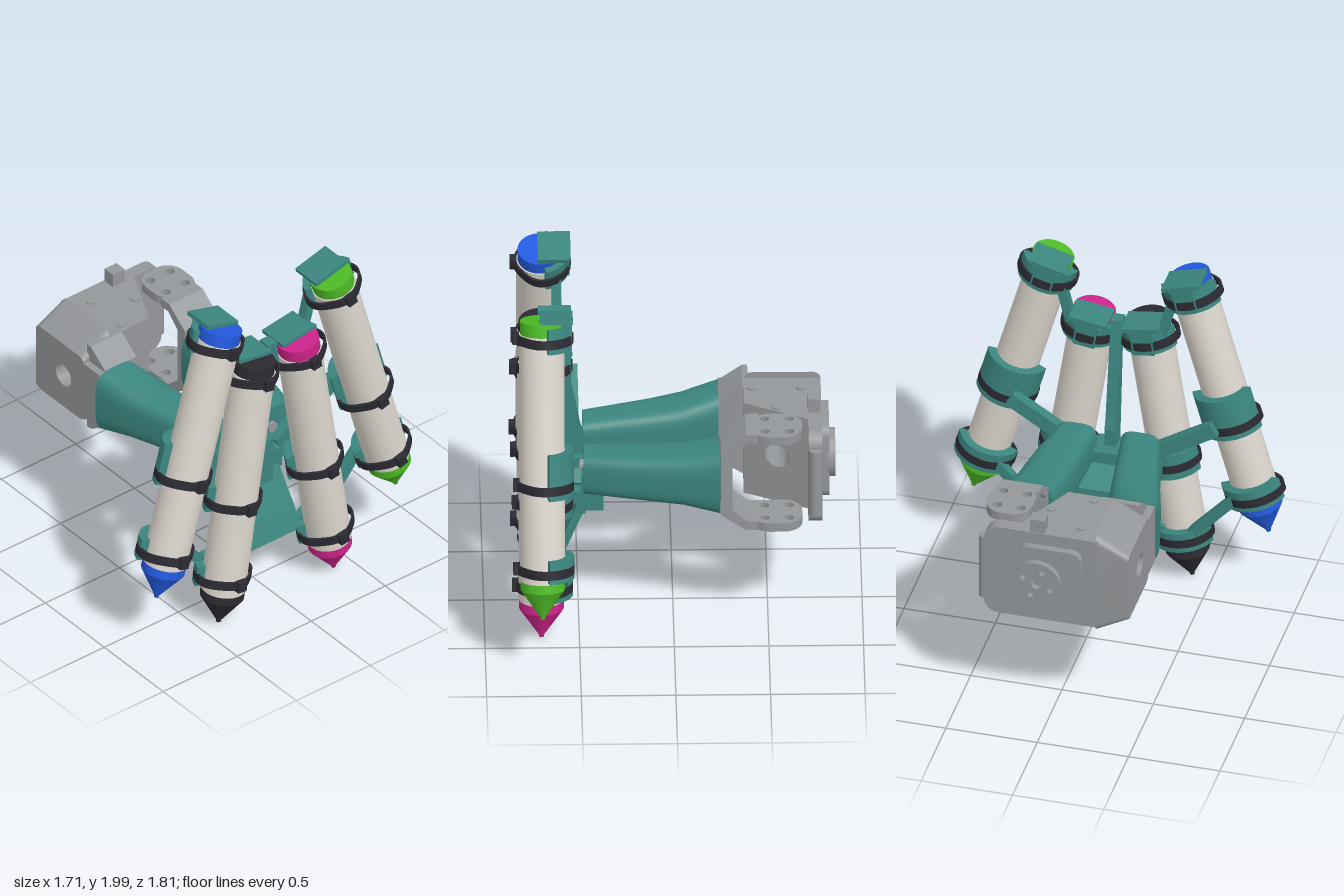
import * as THREE from 'three';
import { toCreasedNormals } from 'three/addons/utils/BufferGeometryUtils.js';

const paint = (name, color) => Object.assign(new THREE.MeshStandardMaterial({ color }), { name });

export function createModel() {
  const teal = paint('teal plastic', 0x3b857e), grey = paint('grey servo', 0x94979a);
  const ivory = paint('ivory barrel', 0xdcd7cd), black = paint('black', 0x2b2a32);
  const blue = paint('blue', 0x225ade), green = paint('green', 0x4dbb26), pink = paint('magenta', 0xcc2389);
  const model = new THREE.Group();

  const add = (parent, name, geometry, material, x = 0, y = 0, z = 0) => {
    const mesh = new THREE.Mesh(geometry, material);
    mesh.name = name;
    mesh.position.set(x, y, z);
    parent.add(mesh);
    return mesh;
  };
  const box = (parent, name, mat, x0, x1, y0, y1, z0, z1) => add(parent, name,
    new THREE.BoxGeometry(x1 - x0, y1 - y0, z1 - z0), mat, (x0 + x1) / 2, (y0 + y1) / 2, (z0 + z1) / 2);
  const outline = pts => new THREE.Shape(pts.map(p => new THREE.Vector2(...p)));
  const hole = (shape, x, y, r) => {
    shape.holes.push(new THREE.Path().absarc(x, y, r, 0, Math.PI * 2, true));
    return shape;
  };
  // Extrusion along z, along y (shape drawn in x, -z) and along x (shape drawn in -z, y)
  const alongZ = (shape, a, b) => new THREE.ExtrudeGeometry(shape,
    { depth: b - a, bevelEnabled: false, curveSegments: 20 }).translate(0, 0, a);
  const smooth = g => toCreasedNormals(g, 0.5);
  const alongY = (shape, a, b) => smooth(alongZ(shape, a, b).rotateX(-Math.PI / 2));
  const alongX = (shape, a, b) => smooth(alongZ(shape, a, b).rotateY(Math.PI / 2));
  const roundRect = (x0, x1, y0, y1, r) => {
    const s = new THREE.Shape();
    s.absarc(x1 - r, y1 - r, r, 0, Math.PI / 2);
    s.absarc(x0 + r, y1 - r, r, Math.PI / 2, Math.PI);
    s.absarc(x0 + r, y0 + r, r, Math.PI, Math.PI * 1.5);
    s.absarc(x1 - r, y0 + r, r, Math.PI * 1.5, Math.PI * 2);
    return s;
  };
  const beam = (name, a, b, depth, width) => {
    const p = new THREE.Vector3(...a), q = new THREE.Vector3(...b), d = q.clone().sub(p);
    const m = add(model, name, new THREE.BoxGeometry(depth, d.length(), width), teal);
    m.position.copy(p).add(q).multiplyScalar(0.5);
    m.quaternion.setFromUnitVectors(new THREE.Vector3(0, 1, 0), d.normalize());
  };

  // Cradle: open arc behind the pen. Strap: hugs the pen in front and the cradle behind
  const cradle = r => {
    const s = new THREE.Shape(), a = 1.35;
    s.absarc(0, 0, r, Math.PI - a, Math.PI + a, false);
    s.absarc(0, 0, 0.121, Math.PI + a, Math.PI - a, true);
    return s;
  };
  const strapLoop = inset => Array.from({ length: 48 }, (_, i) => {
    const t = (i / 48 - 0.5) * Math.PI * 2;
    const r = 0.134 + 0.034 * THREE.MathUtils.smoothstep(Math.abs(t), 0.7, 1.7) - inset;
    return new THREE.Vector2(r * Math.cos(t), r * Math.sin(t));
  });
  const strapShape = new THREE.Shape(strapLoop(0));
  strapShape.holes.push(new THREE.Path(strapLoop(0.013).reverse()));
  const lathe = pts => smooth(new THREE.LatheGeometry(pts.map(p => new THREE.Vector2(...p)), 40).toNonIndexed());

  // Pens, each in its own tilted frame with the tip at the origin
  // clamps: [strap centre, cradle start, cradle end, cradle radius]
  function pen(name, mat, tipY, tipZ, tilt, clamps) {
    const g = new THREE.Group();
    g.name = name;
    g.position.set(0.7, tipY, tipZ);
    g.rotation.x = tilt;
    add(g, 'penTip', lathe([[0, 0], [0.012, 0.006], [0.015, 0.02], [0.118, 0.17], [0.118, 0.222]]), mat);
    add(g, 'penBarrel', lathe([[0, 0.22], [0.12, 0.22], [0.12, 1.572], [0, 1.572]]), ivory);
    add(g, 'penCap', lathe([[0.114, 1.565], [0.114, 1.641], [0, 1.641]]), mat);
    for (const [s, from, to, r] of clamps) {
      add(g, 'cradleLower', alongY(cradle(r), from, s - 0.027), teal);
      add(g, 'cradleGroove', alongY(cradle(0.15), s - 0.027, s + 0.027), teal);
      add(g, 'cradleUpper', alongY(cradle(r), s + 0.027, to), teal);
      add(g, 'strap', alongY(strapShape, s - 0.024, s + 0.024), black);
      box(g, 'strapBuckle', black, 0.12, 0.155, s - 0.03, s + 0.03, -0.028, 0.028);
    }
    box(g, 'topStop', teal, -0.165, 0.01, 1.644, 1.666, -0.105, 0.105);
    box(g, 'topStopWeb', teal, -0.16, -0.125, 1.5, 1.65, -0.06, 0.06);
    model.add(g);
  }
  const outer = [[0.283, 0.235, 0.355, 0.168], [0.742, 0.69, 0.935, 0.168], [1.545, 1.49, 1.62, 0.157]];
  const inner = [[0.3, 0.25, 0.365, 0.168], [0.772, 0.71, 0.86, 0.168], [1.553, 1.5, 1.62, 0.157]];
  pen('outerLeftPen', blue, 0.36, 0.81, -0.272, outer);
  pen('outerRightPen', green, 0.36, -0.81, 0.272, outer);
  pen('innerLeftPen', black, 0.005, 0.39, -0.15, inner);
  pen('innerRightPen', pink, 0.005, -0.39, 0.15, inner);

  // Frame: spine, hub, lower skirt and struts to the cradles
  add(model, 'spine', alongZ(outline([[0.47, 0.8], [0.56, 0.8], [0.62, 1.45], [0.67, 1.6], [0.67, 1.64], [0.6, 1.64],
    [0.57, 1.5], [0.49, 1.08], [0.47, 1.02]]), -0.03, 0.03), teal);
  box(model, 'hubBlock', teal, 0.4, 0.57, 0.65, 0.92, -0.085, 0.085);
  box(model, 'hubPlate', teal, 0.465, 0.5, 0.65, 0.88, -0.2, 0.2);
  add(model, 'hubWedge', alongZ(outline([[0.25, 0.78], [0.37, 0.76], [0.37, 0.65], [0.5, 0.65], [0.5, 0.86],
    [0.42, 0.86]]), -0.17, 0.17), teal);
  const skirt = alongZ(outline([[0.46, 0.68], [0.57, 0.43], [0.61, 0.32], [0.65, 0.32], [0.61, 0.44], [0.51, 0.68]]),
    -0.2, 0.2);
  const sp = skirt.attributes.position;
  for (let i = 0; i < sp.count; i++) if (sp.getY(i) > 0.5) sp.setZ(i, sp.getZ(i) * 0.85);
  skirt.computeVertexNormals();
  add(model, 'lowerSkirt', skirt, teal);
  for (const s of [1, -1]) {
    beam('midArm', [0.52, 0.84, s * 0.14], [0.525, 1.1, s * 0.56], 0.06, 0.08);
    beam('innerMidArm', [0.525, 0.79, s * 0.08], [0.525, 0.79, s * 0.27], 0.06, 0.07);
    beam('lowerStrut', [0.59, 0.34, s * 0.4], [0.585, 0.63, s * 0.66], 0.05, 0.055);
    beam('innerLowerArm', [0.6, 0.345, s * 0.16], [0.6, 0.345, s * 0.27], 0.04, 0.05);
    beam('upperStrut', [0.61, 1.6, s * 0.25], [0.61, 1.84, s * 0.31], 0.05, 0.05);
    const screw = add(model, 'legScrew', new THREE.CylinderGeometry(0.03, 0.03, 0.04, 20), grey, 0.475, 0.92, s * 0.145);
    screw.rotation.z = Math.PI / 2;
  }

  // Legs: rounded sections [x, yLow, yHigh, zLow, zHigh] joined from rear to hub
  function leg(name, rows) {
    const n = 40, pos = [], idx = [];
    for (const [x, y0, y1, z0, z1] of rows) for (let i = 0; i < n; i++) {
      const t = i / n * Math.PI * 2, r = v => Math.sign(v) * Math.abs(v) ** 0.55;
      pos.push(x, (y0 + y1) / 2 + r(Math.sin(t)) * (y1 - y0) / 2, (z0 + z1) / 2 + r(Math.cos(t)) * (z1 - z0) / 2);
    }
    for (let k = 0; k < rows.length - 1; k++) for (let i = 0; i < n; i++) {
      const a = k * n + i, b = k * n + (i + 1) % n;
      idx.push(a, a + n, b, b, a + n, b + n);
    }
    const last = (rows.length - 1) * n;
    for (let i = 1; i < n - 1; i++) idx.push(0, i, i + 1, last, last + i + 1, last + i);
    const g = new THREE.BufferGeometry();
    g.setAttribute('position', new THREE.Float32BufferAttribute(pos, 3));
    g.setIndex(idx);
    add(model, name, toCreasedNormals(g.toNonIndexed(), 0.7), teal).material.side = THREE.DoubleSide;
  }
  leg('leftLeg', [[-0.245, 0.73, 1.115, 0.19, 0.467], [-0.05, 0.77, 1.065, 0.135, 0.42],
    [0.12, 0.785, 1.05, 0.11, 0.37], [0.475, 0.8, 1.035, 0.058, 0.276]]);
  leg('rightLeg', [[-0.245, 0.73, 1.115, -0.414, -0.112], [-0.05, 0.77, 1.065, -0.38, -0.1],
    [0.23, 0.79, 1.045, -0.342, -0.085], [0.475, 0.8, 1.035, -0.292, -0.072]]);

  // Servo housing with a through hole; the front narrows and the rear is slanted
  const cy = 0.925;
  const front = alongZ(hole(roundRect(-0.785, -0.38, 0.62, 1.23, 0.045), -0.55, cy, 0.065), 0.26, 0.44);
  const fp = front.attributes.position;
  for (let i = 0; i < fp.count; i++) {
    const y = fp.getY(i) - cy;
    if (fp.getZ(i) > 0.4 && Math.abs(y) > 0.15) fp.setY(i, cy + y * 0.67);
  }
  front.computeVertexNormals();
  add(model, 'servoFrontShell', smooth(front), grey);
  const motor = alongZ(hole(outline([[-0.785, 0.65], [-0.375, 0.65], [-0.375, 1.2], [-0.785, 1.2]]),
    -0.55, cy, 0.065), 0, 0.27);
  const mp = motor.attributes.position;
  for (let i = 0; i < mp.count; i++) if (mp.getZ(i) < 0.1) mp.setZ(i, Math.min(0.02, -0.17 + (mp.getX(i) + 0.72) * 0.5));
  motor.computeVertexNormals();
  add(model, 'servoMotor', smooth(motor), grey);
  for (const [x, z] of [[-0.68, 0.155], [-0.42, 0.155], [-0.55, -0.045]])
    add(model, 'housingScrew', new THREE.CylinderGeometry(0.025, 0.025, 0.012, 20), grey, x, 1.203, z);

  // End plate with rounded edge, its tab, raised pad and the round output horn
  add(model, 'endPlate', alongX(roundRect(-0.2, 0.35, 0.65, 1.2, 0.08), -0.785, -0.712), grey);
  add(model, 'endPlateEdge', new THREE.CylinderGeometry(0.0365, 0.0365, 0.39, 24), grey, -0.7485, cy, -0.35);
  box(model, 'endPlateTab', grey, -0.78, -0.71, 1.15, 1.28, -0.1, -0.02);
  add(model, 'endPlatePad', alongX(roundRect(-0.19, 0.155, 0.7, 1.13, 0.06), -0.825, -0.78), grey);
  const horn = new THREE.Shape().absarc(0.043, cy, 0.13, 0, Math.PI * 2);
  for (let i = 0; i < 4; i++) {
    const t = i * Math.PI / 2 + 0.4;
    hole(horn, 0.043 + 0.08 * Math.cos(t), cy + 0.08 * Math.sin(t), 0.018);
  }
  add(model, 'outputHorn', alongX(hole(horn, 0.043, cy, 0.032), -0.857, -0.82), grey);

  // Left mount joins the housing to the left leg
  add(model, 'leftMount', alongZ(outline([[-0.4, 0.66], [-0.37, 0.66], [-0.245, 0.74], [-0.245, 1.11], [-0.37, 1.2],
    [-0.4, 1.2]]), 0.19, 0.4), grey);
  box(model, 'leftMountFace', grey, -0.39, -0.245, 0.75, 1.1, 0.39, 0.44);

  // Right mount is a C bracket with drilled arms
  add(model, 'rightMount', alongZ(outline([[-0.45, 1.22], [-0.45, 1.17], [-0.39, 1.17], [-0.31, 1.09], [-0.31, 0.76],
    [-0.39, 0.69], [-0.45, 0.69], [-0.45, 0.64], [-0.38, 0.64], [-0.25, 0.73], [-0.25, 1.12], [-0.38, 1.22]]),
  -0.365, -0.14), grey);
  for (const y of [0.64, 1.17]) {
    const arm = roundRect(-0.68, -0.41, 0.14, 0.387, 0.1);
    for (const x of [-0.61, -0.48]) for (const z of [0.195, 0.325]) hole(arm, x, z, 0.025);
    add(model, 'rightMountArm', alongY(arm, y, y + 0.05), grey);
  }
  return model;
}
